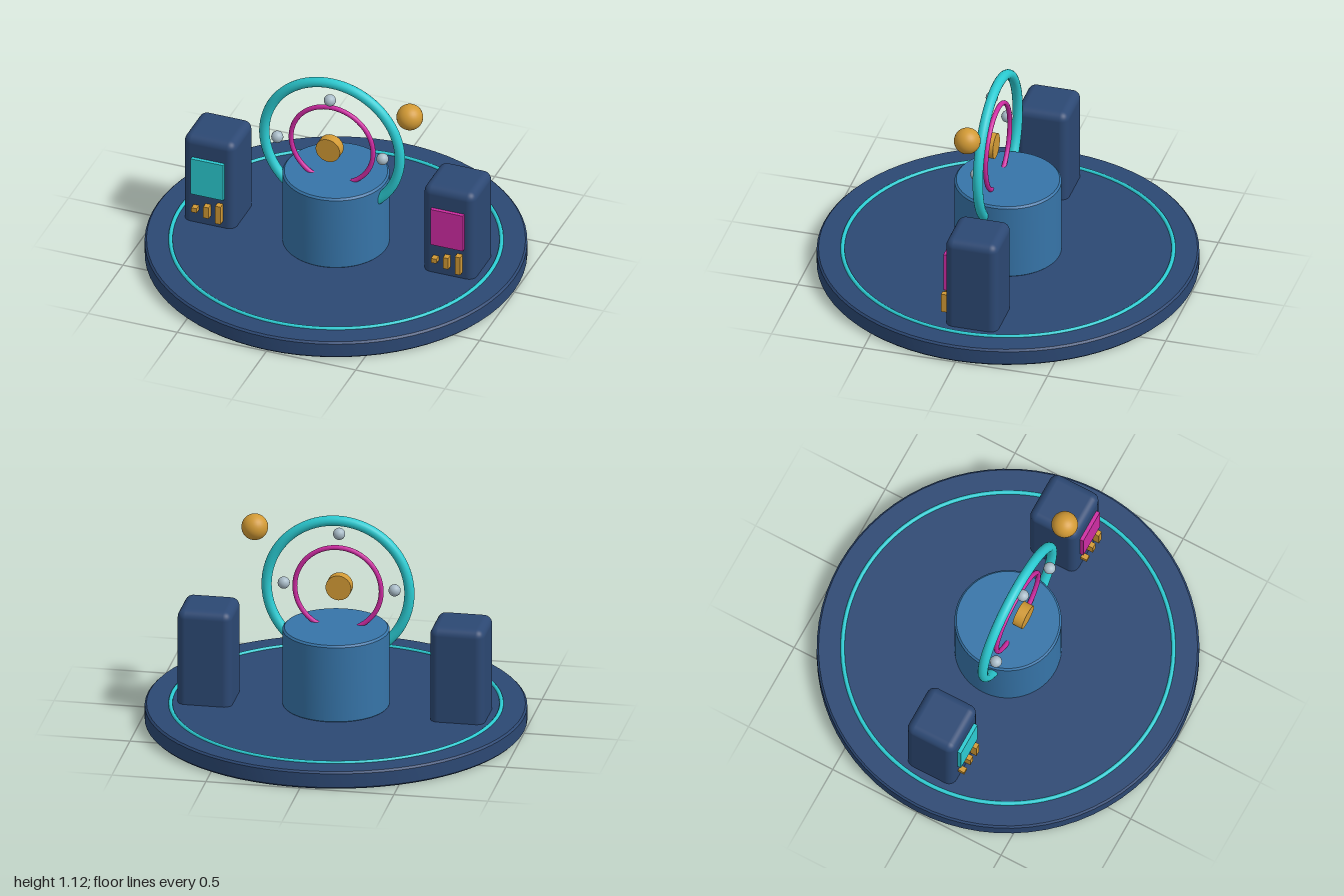
import * as THREE from 'three';
import { toCreasedNormals } from 'three/addons/utils/BufferGeometryUtils.js';
import { RoundedBoxGeometry } from 'three/addons/geometries/RoundedBoxGeometry.js';

const material = (name, color) => {
  const m = new THREE.MeshStandardMaterial({ color });
  m.name = name;
  return m;
};

// Solid disc with a small bevel on its rims
function bevelledDisc(radius, y0, y1, bevel) {
  const profile = [
    [0, y0], [radius - bevel, y0], [radius, y0 + bevel],
    [radius, y1 - bevel], [radius - bevel, y1], [0, y1],
  ].map(([x, y]) => new THREE.Vector2(x, y));
  return toCreasedNormals(new THREE.LatheGeometry(profile, 72), 0.6);
}

export function createModel() {
  const navy = material('navy', 0x2c4873);
  const blue = material('blue', 0x3674a8);
  const teal = material('teal', 0x2bcbd2);
  const magenta = material('magenta', 0xce2ba2);
  const gold = material('gold', 0xd29a35);
  const silver = material('silver', 0xa9bcc8);

  const model = new THREE.Group();
  model.name = 'portalStage';
  const add = (name, geometry, mat, x = 0, y = 0, z = 0, parent = model) => {
    const mesh = new THREE.Mesh(geometry, mat);
    mesh.name = name;
    mesh.position.set(x, y, z);
    parent.add(mesh);
    return mesh;
  };

  // Round platform with its inlaid trim and the central drum
  add('platform', bevelledDisc(1, 0, 0.096, 0.01), navy);
  add('platformTrim', new THREE.TorusGeometry(0.865, 0.011, 10, 96), teal, 0, 0.096, 0)
    .rotation.x = Math.PI / 2;
  add('drum', bevelledDisc(0.28, 0.09, 0.523, 0.01), blue);

  // Upright rings rising out of the drum
  const hubY = 0.716;
  add('outerRing', new THREE.TorusGeometry(0.38, 0.027, 16, 80), teal, 0, hubY, 0.056);
  add('innerRing', new THREE.TorusGeometry(0.23, 0.013, 12, 64), magenta, 0, hubY, 0.056);

  // Gold hub, floating orb and the small beads between the rings
  add('hub', new THREE.CylinderGeometry(0.068, 0.068, 0.055, 32), gold, 0, hubY, 0.091)
    .rotation.x = Math.PI / 2;
  add('orb', new THREE.SphereGeometry(0.07, 28, 18), gold, 0.45, 1.016, 0.093);
  for (let i = 0; i < 3; i++) {
    const a = i * Math.PI / 2;
    add('bead', new THREE.SphereGeometry(0.032, 20, 14), silver,
      0.295 * Math.cos(a), hubY + 0.295 * Math.sin(a), 0.088);
  }

  // Two side consoles, each with a screen and a row of growing bars
  for (const [name, x, screenMat] of [['rightConsole', -0.672, teal], ['leftConsole', 0.672, magenta]]) {
    const group = new THREE.Group();
    group.name = name;
    group.position.x = x;
    model.add(group);
    add('cabinet', new RoundedBoxGeometry(0.29, 0.57, 0.283, 5, 0.045), navy, 0, 0.333, -0.029, group);
    add('screen', new THREE.BoxGeometry(0.182, 0.218, 0.03), screenMat, 0, 0.387, 0.118, group);
    [0.027, 0.068, 0.108].forEach((height, i) => {
      add('bar', new THREE.BoxGeometry(0.03, height, 0.04), gold, (i - 1) * 0.067, 0.19, 0.128, group);
    });
  }
  return model;
}
